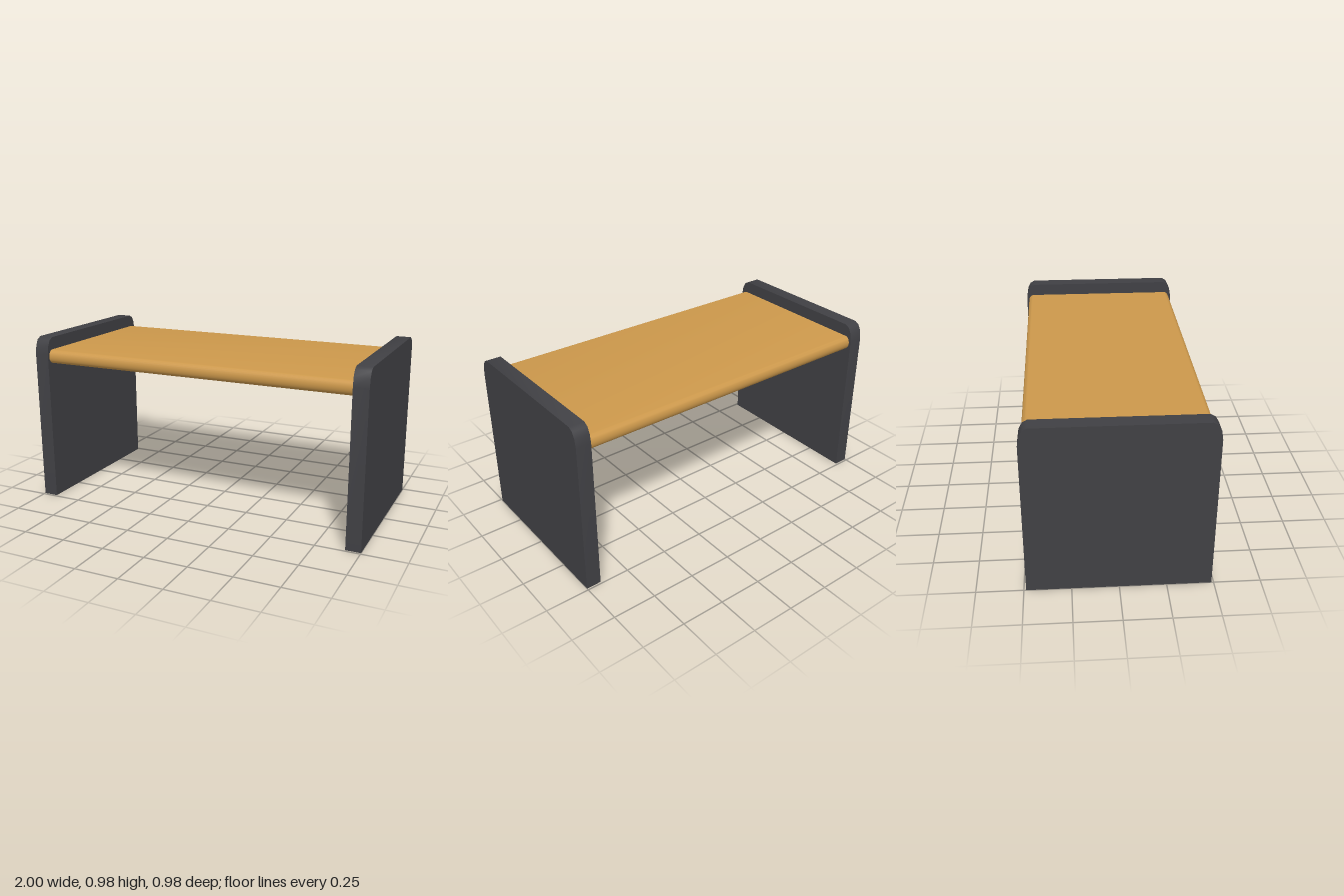
import * as THREE from 'three';
import { toCreasedNormals } from 'three/addons/utils/BufferGeometryUtils.js';

// Extrude a (z, y) outline along x, centred on x = 0
function extrudeAlongX(points, width) {
  const shape = new THREE.Shape(points.map(([z, y]) => new THREE.Vector2(-z, y)));
  const geometry = new THREE.ExtrudeGeometry(shape, { depth: width, bevelEnabled: false });
  geometry.translate(0, 0, -width / 2);
  geometry.rotateY(Math.PI / 2);
  return toCreasedNormals(geometry, 0.7);
}

export function createModel() {
  const group = new THREE.Group();
  group.name = 'bench';
  const dark = new THREE.MeshStandardMaterial({ color: 0x404044 });
  const wood = new THREE.MeshStandardMaterial({ color: 0xcc984b });

  // Side panels with softly rounded top corners
  const half = [[0.488, 0], [0.488, 0.88], [0.48, 0.93], [0.463, 0.962], [0.437, 0.977]];
  const outline = [...half, ...half.map(([z, y]) => [-z, y]).reverse()];
  const panelGeometry = extrudeAlongX(outline, 0.085);
  for (const [name, side] of [['leftPanel', 1], ['rightPanel', -1]]) {
    const panel = new THREE.Mesh(panelGeometry, dark);
    panel.name = name;
    panel.position.x = side * 0.9575;
    group.add(panel);
  }

  // Seat board with rounded front and back edges
  const edge = [];
  const steps = 12;
  for (let i = 0; i <= steps; i++) {
    const a = -Math.PI / 2 + (Math.PI * i) / steps;
    edge.push([0.445 + 0.03 * Math.cos(a), 0.865 + 0.04 * Math.sin(a)]);
  }
  const board = [...edge, ...edge.map(([z, y]) => [-z, y]).reverse()];
  const seat = new THREE.Mesh(extrudeAlongX(board, 1.83), wood);
  seat.name = 'seat';
  group.add(seat);

  return group;
}
